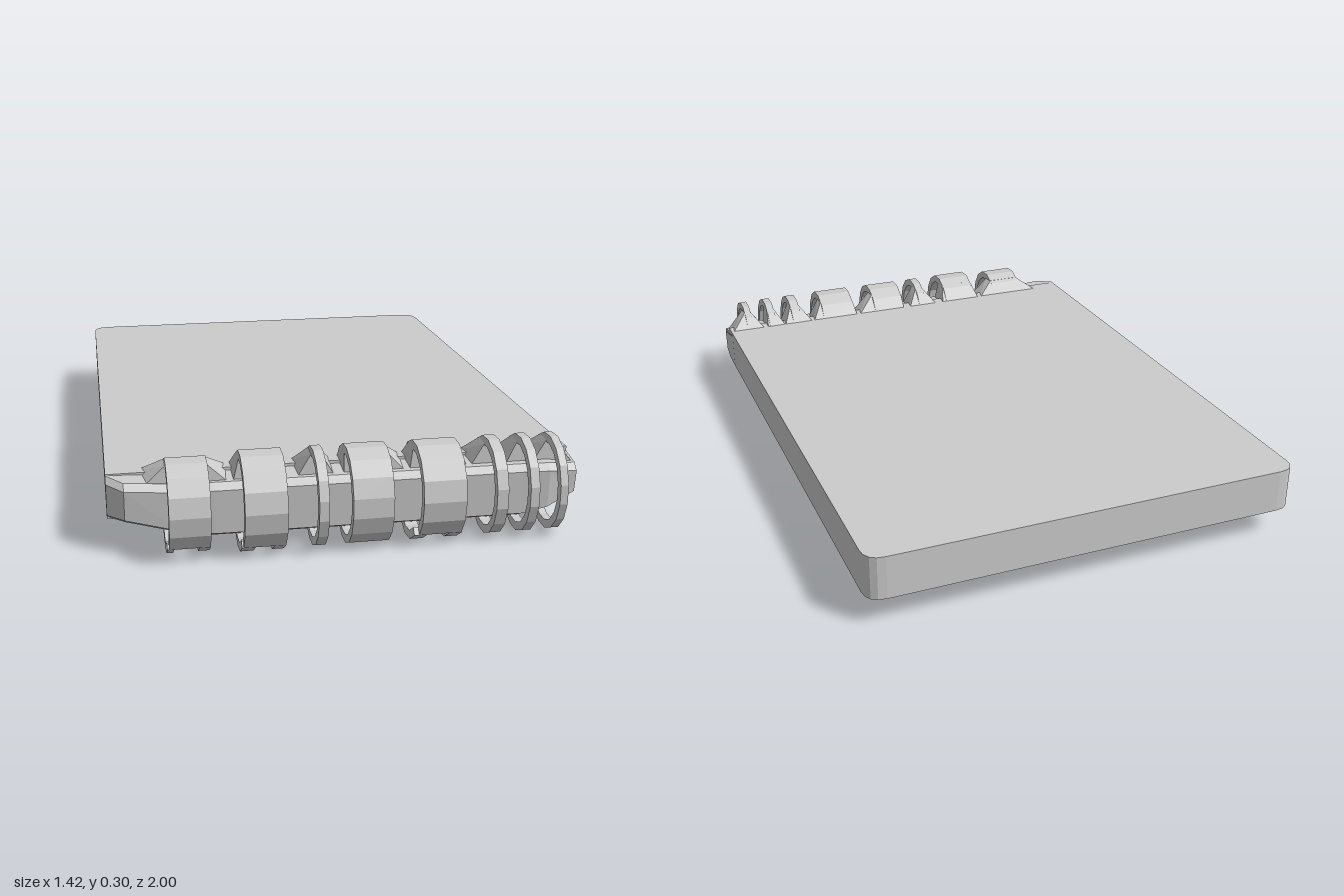
import * as THREE from 'three';
import { ConvexGeometry } from 'three/addons/geometries/ConvexGeometry.js';

const material = new THREE.MeshStandardMaterial({ color: 0xcccccc, flatShading: true, side: THREE.DoubleSide });

function add(group, name, geometry) {
  const mesh = new THREE.Mesh(geometry, material);
  mesh.name = name;
  group.add(mesh);
  return mesh;
}

// Page block: flat slab with two rounded far corners
function pageBlock() {
  const w = 0.705, r = 0.06, s = new THREE.Shape();
  s.moveTo(-0.71, -0.8);
  s.lineTo(0.71, -0.8);
  s.lineTo(w, 1 - r);
  s.quadraticCurveTo(w, 1, w - r, 1);
  s.lineTo(-w + r, 1);
  s.quadraticCurveTo(-w, 1, -w, 1 - r);
  s.closePath();
  const g = new THREE.ExtrudeGeometry(s, { depth: 0.14, bevelEnabled: false, curveSegments: 4 });
  return g.rotateX(-Math.PI / 2).translate(0, 0.098, 0);
}

// Spine: one cross-section per station [x, front z, bottom y, top y]
function spine() {
  const stations = [
    [-0.71, 0.83, 0.098, 0.238], [-0.66, 0.88, 0.098, 0.23], [-0.5, 0.885, 0.055, 0.22],
    [-0.4, 0.89, 0.042, 0.22], [0.54, 0.9, 0.042, 0.22], [0.62, 0.905, 0.06, 0.22], [0.71, 0.89, 0.1, 0.21]
  ];
  const pos = [], index = [], n = 6;
  for (const [x, z, lo, hi] of stations) {
    pos.push(x, 0.1, 0.74, x, lo, z - 0.05, x, lo + 0.02, z - 0.01,
      x, hi - 0.02, z, x, hi, z - 0.02, x, 0.236, 0.74);
  }
  for (let i = 0; i < stations.length - 1; i++) {
    for (let j = 0; j < n; j++) {
      const a = i * n + j, b = i * n + (j + 1) % n;
      index.push(a, a + n, b, b, a + n, b + n);
    }
  }
  const last = (stations.length - 1) * n;
  for (let j = 1; j < n - 1; j++) {
    index.push(0, j, j + 1, last, last + j + 1, last + j);
  }
  const g = new THREE.BufferGeometry();
  g.setAttribute('position', new THREE.Float32BufferAttribute(pos, 3));
  g.setIndex(index);
  g.computeVertexNormals();
  return g;
}

// Faceted strip of a hoop between two angles (0 = front, 90 = top)
function hoop(x0, x1, from, to, size) {
  const s = new THREE.Shape(), steps = Math.max(3, Math.round((from - to) / 24));
  const point = (deg, k) => {
    const a = THREE.MathUtils.degToRad(deg);
    return [-(0.868 + Math.cos(a) * (0.132 * size - k)), 0.157 + Math.sin(a) * (0.152 * size - k)];
  };
  const at = i => from + (to - from) * i / steps;
  s.moveTo(...point(from, 0));
  for (let i = 1; i <= steps; i++) s.lineTo(...point(at(i), 0));
  for (let i = steps; i >= 0; i--) s.lineTo(...point(at(i), 0.026));
  const g = new THREE.ExtrudeGeometry(s, { depth: x1 - x0, bevelEnabled: false });
  return g.rotateY(Math.PI / 2).translate(x0, 0, 0);
}

// Web: sloping gusset from the hoop's top down to the page block
function web(x0, x1, left, right, top) {
  const p = [];
  for (const [x, y, z] of [
    [x0, top, 0.81], [x1, top, 0.81], [x0, top - 0.005, 0.86], [x1, top - 0.005, 0.86],
    [x0 - left, 0.225, 0.745], [x1 + right, 0.225, 0.745],
    [x0 - left, 0.2, 0.86], [x1 + right, 0.2, 0.86]
  ]) p.push(new THREE.Vector3(x, y, z));
  return new ConvexGeometry(p);
}

export function createModel() {
  const model = new THREE.Group();
  add(model, 'pageBlock', pageBlock());
  add(model, 'spine', spine());

  // Binding hoops: x range, web flare on each side, prong x ranges, size
  const hoops = [
    { x: [-0.54, -0.42], flare: [0.08, 0.08], prongs: [[-0.545, -0.525], [-0.453, -0.42]], size: 0.93 },
    { x: [-0.325, -0.2], flare: [0.02, 0.02], prongs: [[-0.33, -0.29], [-0.235, -0.2]], size: 1 },
    { x: [-0.11, -0.08], flare: [0.05, 0.05], size: 1 },
    { x: [-0.01, 0.112], flare: [0, 0.08], size: 1 },
    { x: [0.2, 0.33], flare: [0.01, 0.05], prongs: [[0.185, 0.225], [0.292, 0.332]], size: 1 },
    { x: [0.422, 0.457], flare: [0.05, 0.04], size: 1 },
    { x: [0.525, 0.553], flare: [0.04, 0.01], size: 1 },
    { x: [0.618, 0.642], flare: [0.05, 0.07], size: 0.99 }
  ];
  hoops.forEach(({ x, flare, prongs, size }) => {
    const ring = new THREE.Group();
    ring.name = 'bindingHoop';
    model.add(ring);
    add(ring, 'band', hoop(x[0], x[1], 150, prongs ? -48 : -150, size));
    for (const [a, b] of prongs || []) add(ring, 'prong', hoop(a, b, -48, -150, size));
    add(ring, 'web', web(x[0], x[1], flare[0], flare[1], 0.15 + 0.14 * size));
  });
  return model;
}
